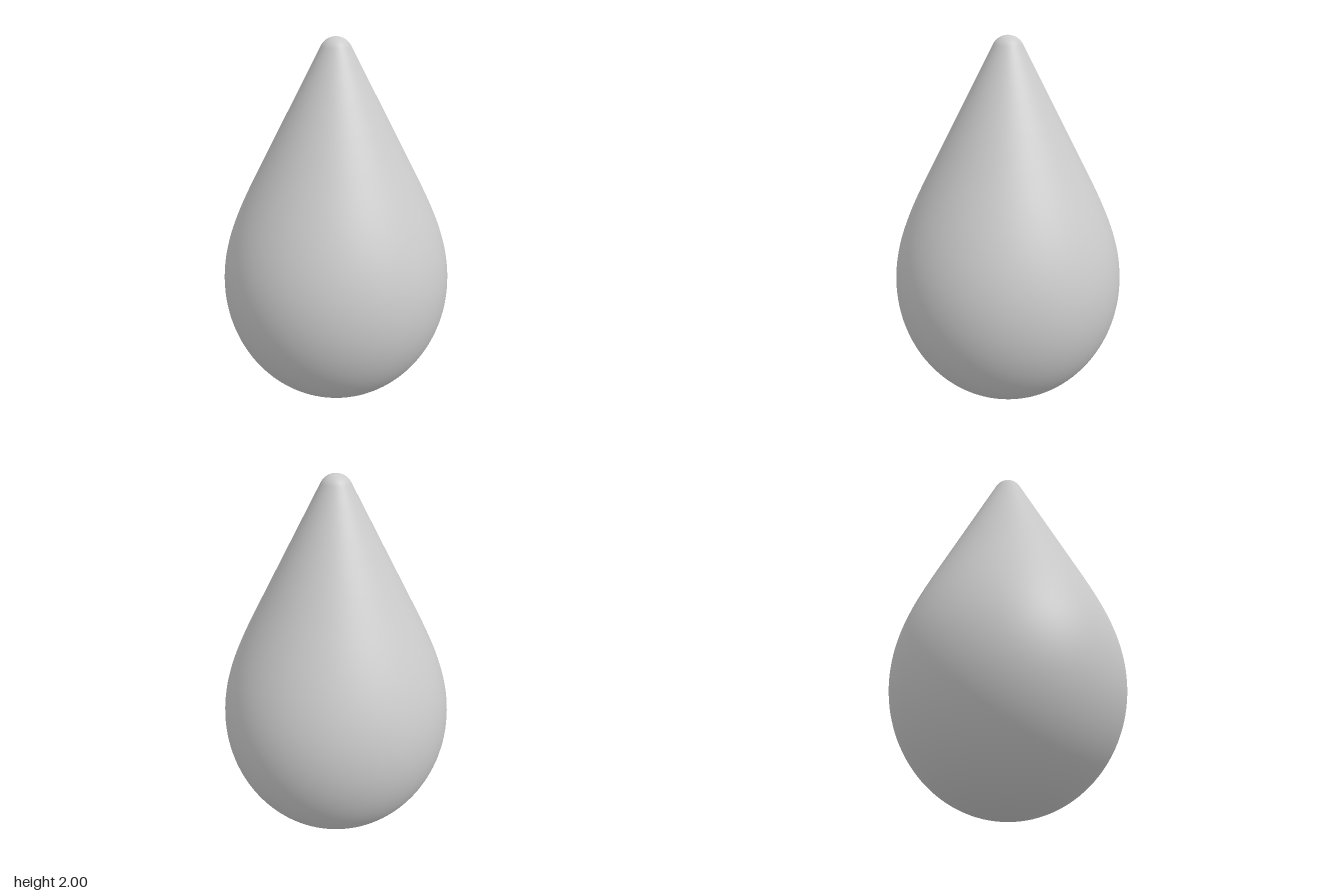
import * as THREE from 'three';

export function createModel() {
  const group = new THREE.Group();
  const v = (x, y) => new THREE.Vector2(x, y);
  const profile = [];

  // Rounded bowl: half ellipse from the base to the widest ring
  const belly = 0.617, bellyY = 0.68;
  for (let i = 0; i <= 32; i++) {
    const a = (i / 32) * Math.PI / 2;
    profile.push(v(belly * Math.sin(a), bellyY * (1 - Math.cos(a))));
  }

  // Shoulder easing from the widest ring into the cone
  const shoulder = new THREE.CubicBezierCurve(
    v(belly, bellyY), v(belly, 0.9), v(0.531, 1.08), v(0.4, 1.33));
  profile.push(...shoulder.getPoints(24).slice(1));

  // Straight cone up to a small spherical tip tangent to it
  const tipR = 0.085, start = 0.48;
  const coneEnd = v(tipR * Math.cos(start), 2 - tipR + tipR * Math.sin(start));
  for (let i = 1; i < 8; i++) profile.push(v(0.4, 1.33).lerp(coneEnd, i / 8));
  for (let i = 0; i <= 12; i++) {
    const a = start + (i / 12) * (Math.PI / 2 - start);
    profile.push(v(i === 12 ? 0 : tipR * Math.cos(a), 2 - tipR + tipR * Math.sin(a)));
  }

  const drop = new THREE.Mesh(
    new THREE.LatheGeometry(profile, 96),
    new THREE.MeshStandardMaterial({ color: 0xcccccc }));
  drop.name = 'teardropBody';
  group.add(drop);
  return group;
}
